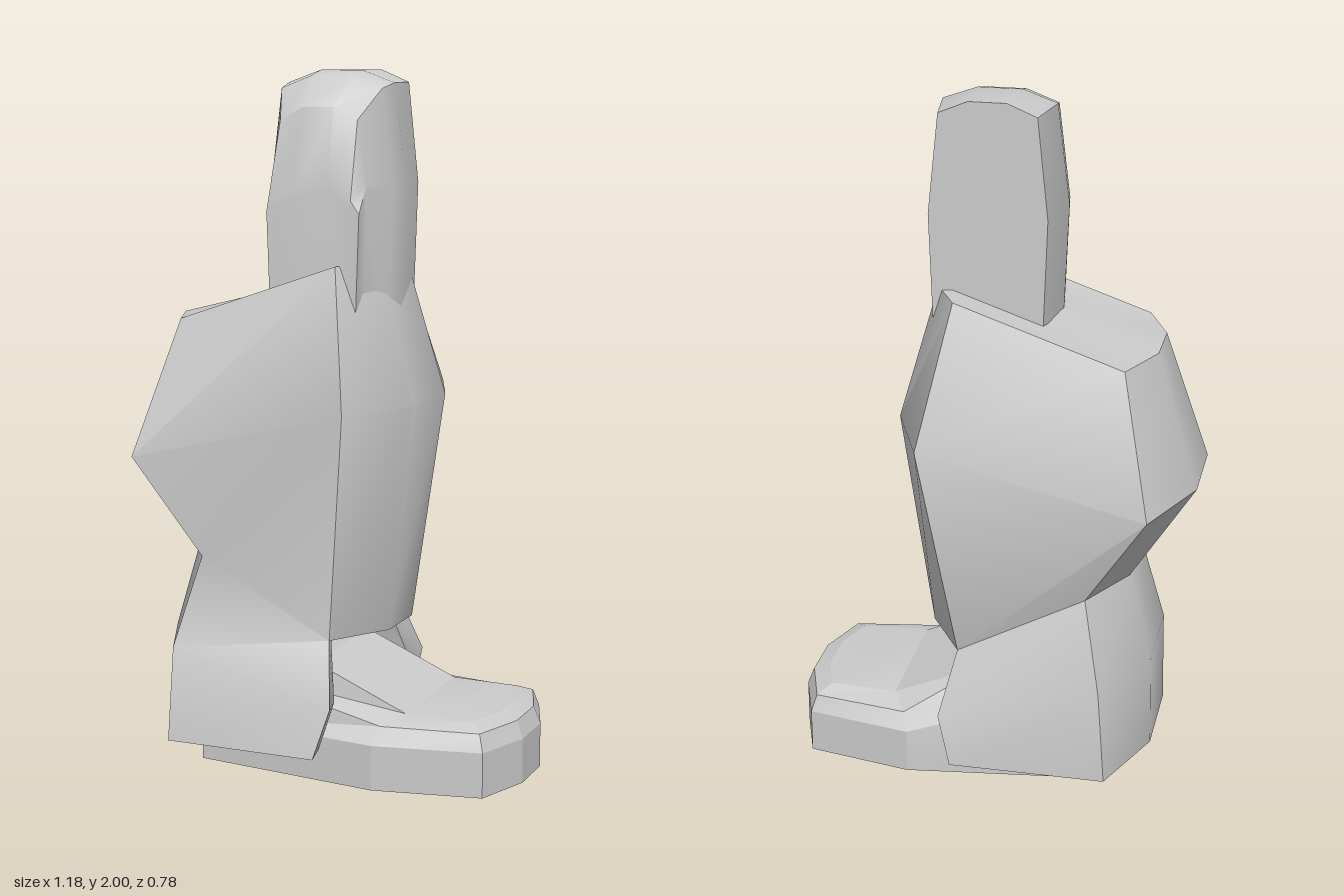
import * as THREE from 'three';
import { toCreasedNormals } from 'three/addons/utils/BufferGeometryUtils.js';

// Complete a ring from one half, mirrored across the given axis (0 = x, 2 = z).
function mirrorRing(half, axis) {
  const other = half.map(p => p.map((v, i) => (i === axis ? -v : v))).reverse();
  return [...half, ...other];
}

// Join rows of points; rows run clockwise when seen from the first row's end.
function loft(out, rows, closed = true) {
  for (let i = 0; i < rows.length - 1; i++) {
    const n = rows[i].length;
    for (let j = 0; j < (closed ? n : n - 1); j++) {
      const k = (j + 1) % n;
      const a = rows[i][j], b = rows[i][k], c = rows[i + 1][k], d = rows[i + 1][j];
      out.push(a, b, c, a, c, d);
    }
  }
}

function cap(out, ring, first) {
  for (let j = 1; j < ring.length - 1; j++) {
    if (first) out.push(ring[0], ring[j + 1], ring[j]);
    else out.push(ring[0], ring[j], ring[j + 1]);
  }
}

function makeMesh(name, points, material, crease = 0.6) {
  const geo = new THREE.BufferGeometry();
  geo.setAttribute('position', new THREE.Float32BufferAttribute(points.flat(), 3));
  const mesh = new THREE.Mesh(toCreasedNormals(geo, crease), material);
  mesh.name = name;
  return mesh;
}

// Rounded upright block with a flat back
function makeHead(material) {
  const slices = [ // z, top, half width
    [0.235, 1.68, 0.14], [0.19, 1.9, 0.142], [0.1, 1.985, 0.187],
    [0.03, 2, 0.198], [-0.14, 2, 0.168],
  ];
  const rows = slices.map(([z, top, w]) => mirrorRing([
    [0.32 * w, top, z],
    [0.82 * w, top - 0.035, z],
    [w, Math.min(1.68, top - 0.07), z],
    [0.9 * w, 1.2, z],
  ], 0));
  const out = [];
  loft(out, rows);
  cap(out, rows[0], true);
  cap(out, rows[rows.length - 1], false);
  const mesh = makeMesh('head', out, material);
  mesh.position.x = 0.005;
  return mesh;
}

// Faceted body shell, open around the foot
function makeBody(material) {
  const frontMiddle = [[0.155, 1.46, 0.1], [0.265, 1.07, 0.13], [0.18, 0.405, 0.09]];
  const frontCorner = [[0.08, 1.465, 0.25], [0.16, 1.07, 0.39], [0.07, 0.405, 0.27],
    [0.11, 0.23, 0.36], [0.07, 0.09, 0.39]];
  const backCorner = [[-0.4, 1.3, 0.25], [-0.49, 0.915, 0.39], [-0.31, 0.625, 0.31],
    [-0.365, 0.37, 0.39], [-0.385, 0.09, 0.39]];
  const backMiddle = [[-0.47, 1.3, 0.085], [-0.595, 0.915, 0.13], [-0.41, 0.625, 0.12],
    [-0.48, 0.37, 0.14], [-0.485, 0.09, 0.14]];
  const out = [];

  const upper = [0, 1, 2].map(i =>
    mirrorRing([frontMiddle[i], frontCorner[i], backCorner[i], backMiddle[i]], 2));
  loft(out, upper);
  cap(out, upper[0], true);

  const lower = [2, 3, 4].map(i =>
    mirrorRing([frontCorner[i], backCorner[i], backMiddle[i]], 2));
  loft(out, lower, false);

  // Inner lining and the rim that joins it to the shell
  const inner = lower.map(row => row.map(([x, y, z]) => [x < 0 ? x * 0.86 : x - 0.02, y, z * 0.78]));
  loft(out, [...inner].reverse(), false);
  loft(out, [lower[2], inner[2]], false);
  const last = lower[0].length - 1;
  loft(out, [lower.map(r => r[0]), inner.map(r => r[0])], false);
  loft(out, [inner.map(r => r[last]), lower.map(r => r[last])], false);

  // Underside of the front panel
  const a = frontMiddle[2], b = frontCorner[2];
  cap(out, mirrorRing([a, b, [-0.33, 0.405, 0.27]], 2), false);
  return makeMesh('body', out, material);
}

// Bevelled foot with a sloping instep
function makeFoot(material) {
  const outline = [[0.59, 0.08], [0.53, 0.25], [0.22, 0.31], [-0.345, 0.24], [-0.37, 0.17]];
  const level = y => outline.map(([x, z]) => [x, y, z]);
  const halves = [
    [[0.52, 0.2, 0.07], [0.48, 0.2, 0.19], [0.28, 0.2, 0.2], [0.0, 0.32, 0.2], [-0.1, 0.32, 0.14]],
    [[0.57, 0.18, 0.075], [0.515, 0.18, 0.235], [0.235, 0.18, 0.28], [-0.3, 0.28, 0.22], [-0.34, 0.28, 0.16]],
    level(0.13),
    level(0),
  ];
  const rows = halves.map(h => mirrorRing(h, 2));
  const out = [];
  loft(out, rows);
  // Top: strips running across from side to side
  const top = halves[0];
  loft(out, [top, top.map(([x, y, z]) => [x, y, -z])].reverse(), false);
  cap(out, rows[3], false);
  const mesh = makeMesh('foot', out, material, 0.3);
  mesh.position.z = 0.01;
  return mesh;
}

export function createModel() {
  const material = new THREE.MeshStandardMaterial({ color: 0xcccccc });
  const shell = new THREE.MeshStandardMaterial({ color: 0xcccccc, side: THREE.DoubleSide });
  const group = new THREE.Group();
  group.name = 'figure';
  group.add(makeHead(material), makeBody(shell), makeFoot(material));
  return group;
}
